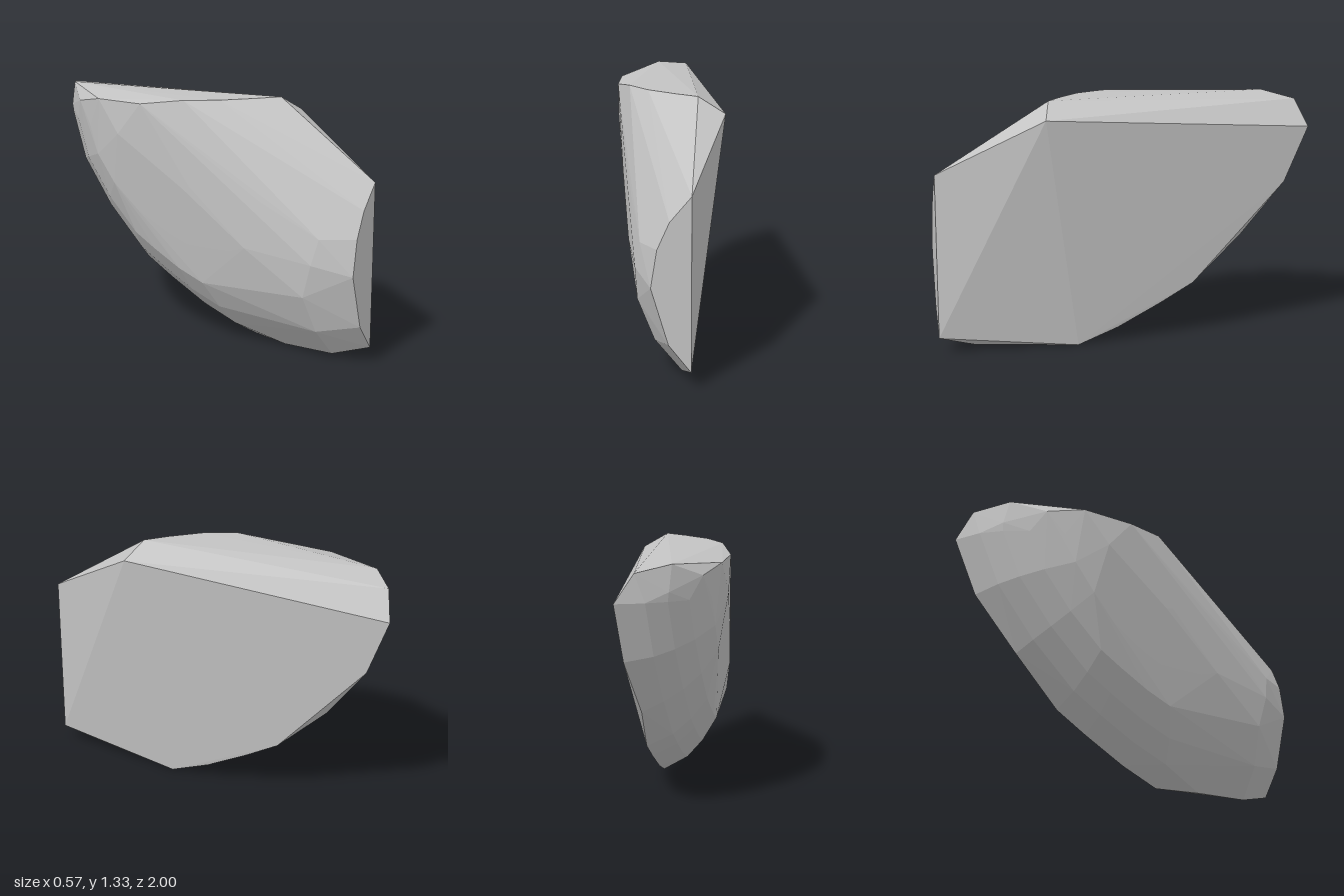
import * as THREE from 'three';
import { ConvexGeometry } from 'three/addons/geometries/ConvexGeometry.js';

const stone = new THREE.MeshStandardMaterial({ color: 0xc3c3c3, flatShading: true });
stone.name = 'stone grey';

// plane of the large split face (+x side)
const splitX = (y, z) => 0.124 + 0.103 * y + 0.0616 * z;

export function createModel() {
  const points = [];
  const add = (x, y, z) => points.push(new THREE.Vector3(x, y, z));

  // corners of the split face, [x, y, z]
  [[0.282, 1.245, 0.45], [0.11, 0.96, 1], [0.11, 0.085, 1], [0.143, 0, 0.26], [0.18, 1.14, -1]]
    .forEach((p) => add(...p));

  // lower back edge of the split face, [z, y]
  const edge = [[0.04, 0.08], [-0.2, 0.2], [-0.38, 0.3], [-0.88, 0.84]];
  edge.forEach(([z, y]) => add(splitX(y, z), y, z));
  add(0.11, 0.545, -0.65);

  // flat front facet at z = 1, [x, y]
  [[0.005, 0.835], [-0.055, 0.7], [-0.085, 0.51], [0, 0.225]].forEach(([x, y]) => add(x, y, 1));

  // top facet outline and the chips behind it
  [[0.145, 1.325, 0.41], [0.03, 1.324, 0.325], [-0.11, 1.322, 0.2], [-0.21, 1.318, 0.04],
    [-0.28, 1.285, -0.19], [-0.27, 1.28, -0.48], [-0.07, 1.31, -0.82], [0.09, 1.28, -0.95],
    [-0.2, 1.24, -0.67], [-0.06, 1.18, -0.85]].forEach((p) => add(...p));

  // chipped lower front corner
  [[-0.165, 0.555, 0.8], [-0.155, 0.375, 0.75], [-0.07, 0.175, 0.78], [-0.14, 0.69, 0.83],
    [0.065, 0.02, 0.8], [0.08, 0.004, 0.5]].forEach((p) => add(...p));

  // rounded outer side: the rim shrinks towards a centre while it bulges to -x
  const rim = [[1.15, 0.6], [1.12, 0.3], [1, 0.085], [0.8, 0.02], [0.5, 0.005], [0.26, 0],
    ...edge.slice(0, 3), [-0.65, 0.55], [-0.88, 0.84], [-1, 1.14]];
  const cz = -0.15, cy = 1.1;
  for (const s of [0.92, 0.82, 0.69, 0.5, 0.22]) {
    for (const [rz, ry] of rim) {
      const z = cz + (rz - cz) * s, y = cy + (ry - cy) * s;
      if (z > 0.95) continue;
      const bulge = 0.53 * Math.pow(1 - s * s, 0.7);
      // the outermost part flattens out
      const x = Math.max(splitX(y, z) - bulge, -0.205 - 0.151 * (y - 0.57), -0.28 + 0.116 * (z + 0.19));
      add(x, y, z);
    }
  }

  const rock = new THREE.Mesh(new ConvexGeometry(points), stone);
  rock.name = 'rockShard';
  const group = new THREE.Group();
  group.name = 'rock';
  group.add(rock);
  return group;
}
